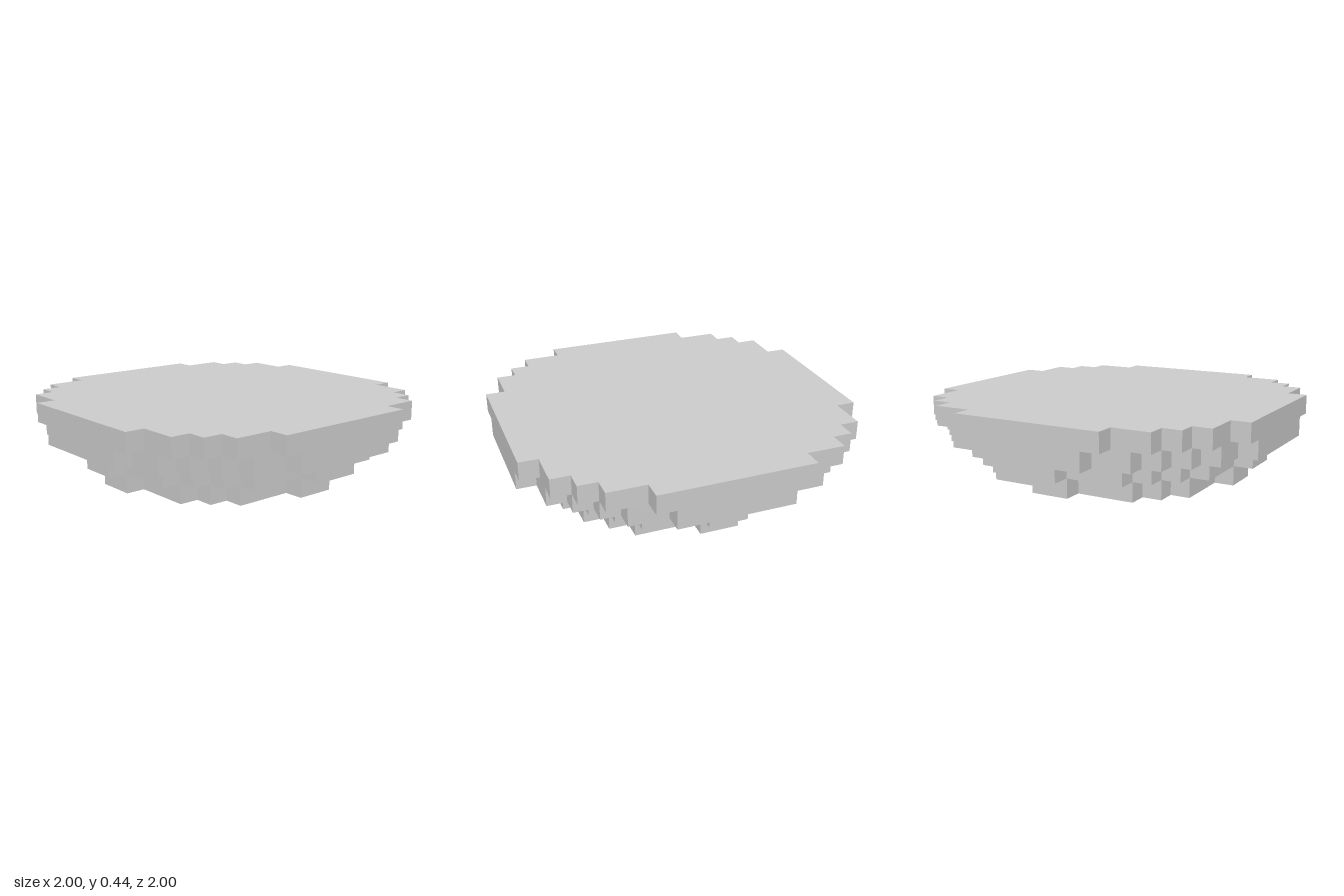
import * as THREE from 'three';

const U = 1 / 9; // edge of one block

// Stepped outline of each layer, as corners of one quadrant in blocks (bottom to top)
const layers = [
  ['baseLayer', [[7, 1], [6, 1], [6, 4], [5, 4], [5, 5], [4, 5], [4, 6], [1, 6], [1, 7]]],
  ['lowerLayer', [[8, 1], [7, 1], [7, 4], [6, 4], [6, 5], [5, 5], [5, 6], [4, 6], [4, 7], [1, 7], [1, 8]]],
  ['upperLayer', [[9, 3], [8, 3], [8, 5], [7, 5], [7, 6], [6, 6], [6, 7], [5, 7], [5, 8], [3, 8], [3, 9]]],
  ['topLayer', [[9, 4], [8, 4], [8, 6], [7, 6], [7, 7], [6, 7], [6, 8], [4, 8], [4, 9]]],
];

// Repeat the quadrant four times by quarter turns
function outline(quadrant) {
  const points = [];
  let corners = quadrant;
  for (let i = 0; i < 4; i++) {
    points.push(...corners.map(([x, y]) => new THREE.Vector2(x * U, y * U)));
    corners = corners.map(([x, y]) => [-y, x]);
  }
  return new THREE.Shape(points);
}

export function createModel() {
  const group = new THREE.Group();
  group.name = 'steppedBlockDisc';
  const material = new THREE.MeshStandardMaterial({ color: 0xcccccc, flatShading: true });

  // Stack one-block-thick slabs
  layers.forEach(([name, quadrant], i) => {
    const geometry = new THREE.ExtrudeGeometry(outline(quadrant), { depth: U, bevelEnabled: false });
    geometry.rotateX(-Math.PI / 2);
    const slab = new THREE.Mesh(geometry, material);
    slab.name = name;
    slab.position.y = i * U;
    group.add(slab);
  });
  return group;
}
